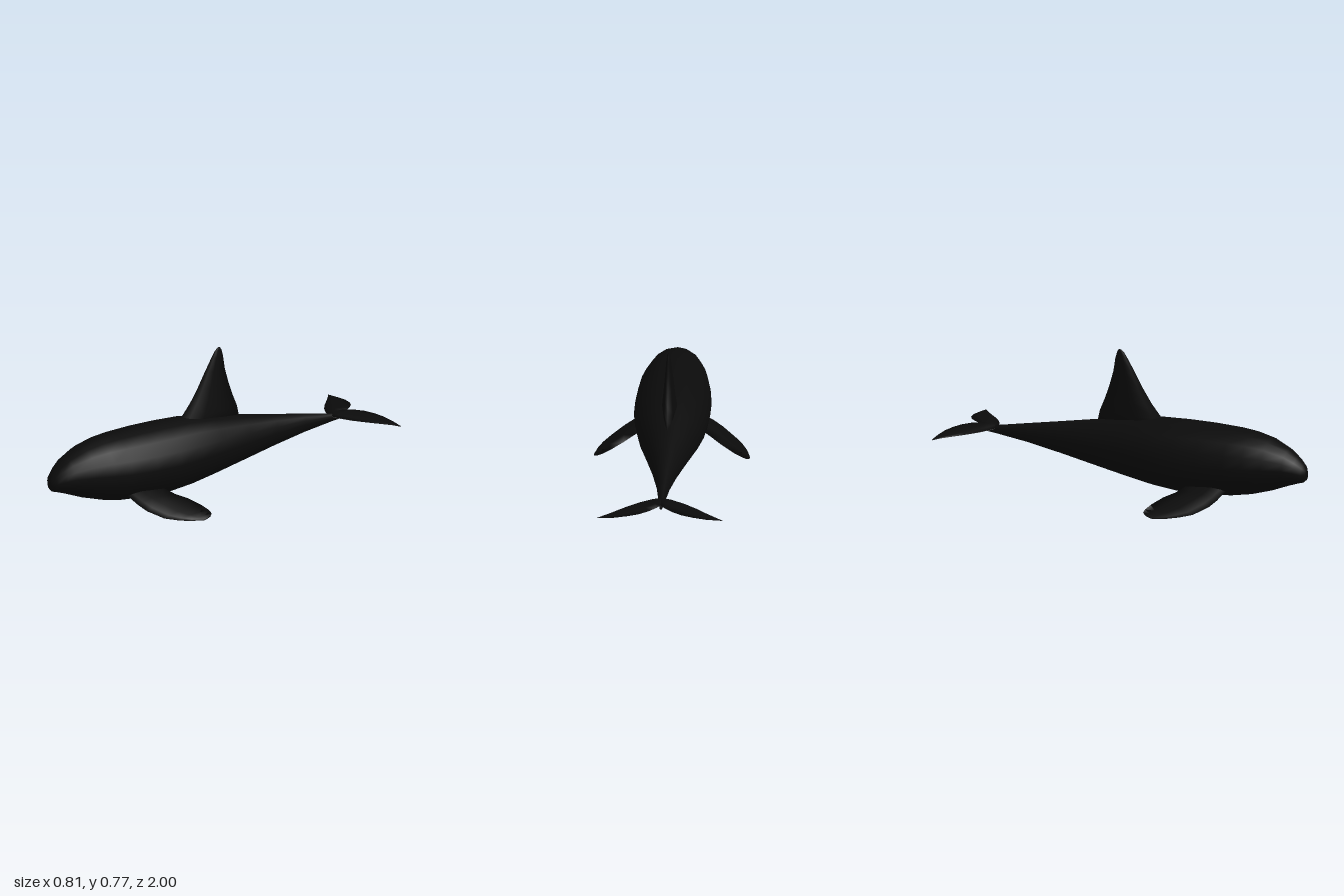
import * as THREE from 'three';

const black = new THREE.MeshStandardMaterial({ color: 0x0b0b0b });
black.name = 'black skin';
const grey = new THREE.MeshStandardMaterial({ color: 0x9a9a9a });
grey.name = 'pale fluke underside';

const V = (x, y, z) => new THREE.Vector3(x, y, z);

// Closed skin over equal rings of points; isPale(j) picks the second material for strip j
function loft(rings, isPale = () => false) {
  const n = rings[0].length;
  const pts = rings.flat();
  const sets = [[], []];
  for (let i = 0; i < rings.length - 1; i++) {
    for (let j = 0; j < n; j++) {
      const a = i * n + j, b = i * n + (j + 1) % n;
      sets[isPale(j) ? 1 : 0].push(a, b, a + n, b, b + n, a + n);
    }
  }
  // end caps
  const last = (rings.length - 1) * n;
  for (let j = 1; j < n - 1; j++) {
    sets[0].push(0, j + 1, j, last, last + j, last + j + 1);
  }
  // turn the faces outward when the ring order runs the other way
  let volume = 0;
  const cross = V(0, 0, 0);
  for (const s of sets) {
    for (let k = 0; k < s.length; k += 3) {
      volume += pts[s[k]].dot(cross.crossVectors(pts[s[k + 1]], pts[s[k + 2]]));
    }
  }
  if (volume < 0) sets.forEach((s) => s.reverse());
  const geo = new THREE.BufferGeometry().setFromPoints(pts);
  geo.setIndex([...sets[0], ...sets[1]]);
  geo.addGroup(0, sets[0].length, 0);
  geo.addGroup(sets[0].length, sets[1].length, 1);
  geo.computeVertexNormals();
  return geo;
}

// Lens-shaped fin section between a leading and a trailing point
const CHORD = [[0.12, 0.6], [0.35, 1], [0.7, 0.6]];
function finRing(lead, trail, half, normal) {
  const at = ([t, h], side) => lead.clone().lerp(trail, t).addScaledVector(normal, side * h * half);
  return [
    lead.clone(), ...CHORD.map((c) => at(c, 1)),
    trail.clone(), ...[...CHORD].reverse().map((c) => at(c, -1)),
  ];
}

function addMesh(group, name, geo) {
  const mesh = new THREE.Mesh(geo, [black, grey]);
  mesh.name = name;
  group.add(mesh);
}

export function createModel() {
  const group = new THREE.Group();
  group.name = 'whale';

  // Body stations: z, top, bottom, half width
  const stations = [
    [1, 0.245, 0.195, 0.02], [0.985, 0.275, 0.18, 0.045], [0.95, 0.31, 0.17, 0.07],
    [0.9, 0.348, 0.153, 0.096], [0.8, 0.394, 0.115, 0.138], [0.7, 0.417, 0.086, 0.166],
    [0.6, 0.427, 0.069, 0.185], [0.45, 0.433, 0.058, 0.198], [0.3, 0.434, 0.058, 0.198],
    [0.15, 0.43, 0.074, 0.185], [0, 0.413, 0.1, 0.161], [-0.2, 0.38, 0.137, 0.115],
    [-0.4, 0.345, 0.175, 0.071], [-0.6, 0.31, 0.21, 0.036], [-0.78, 0.278, 0.235, 0.016],
    [-0.85, 0.268, 0.242, 0.008],
  ];
  const SIDES = 16;
  addMesh(group, 'body', loft(stations.map(([z, top, bottom, w]) =>
    Array.from({ length: SIDES }, (_, j) => {
      const a = (j / SIDES) * Math.PI * 2;
      return V(Math.sin(a) * w, (top + bottom) / 2 + Math.cos(a) * (top - bottom) / 2, z);
    }))));

  // Dorsal fin: y, leading z, trailing z, half thickness
  const dorsal = [
    [0.36, 0.22, -0.2, 0.042], [0.43, 0.17, -0.185, 0.038], [0.5, 0.112, -0.155, 0.031],
    [0.57, 0.066, -0.13, 0.025], [0.65, 0.02, -0.107, 0.018], [0.72, -0.022, -0.096, 0.012],
    [0.755, -0.045, -0.086, 0.007], [0.77, -0.064, -0.076, 0.002],
  ];
  addMesh(group, 'dorsalFin', loft(dorsal.map(([y, a, b, h]) =>
    finRing(V(0, y, a), V(0, y, b), h, V(1, 0, 0)))));

  // Flippers: x, leading z, trailing z, leading y, trailing y, half thickness
  const flipper = [
    [0.11, 0.6, 0.4, 0.125, 0.14, 0.02], [0.2, 0.582, 0.345, 0.085, 0.1, 0.021],
    [0.25, 0.56, 0.3, 0.06, 0.082, 0.02], [0.32, 0.5, 0.258, 0.028, 0.053, 0.016],
    [0.36, 0.44, 0.245, 0.017, 0.037, 0.012], [0.385, 0.385, 0.246, 0.01, 0.026, 0.008],
    [0.403, 0.31, 0.268, 0.005, 0.016, 0.004],
  ];
  // Flukes: leading x, z, y, trailing x, z, y, half thickness
  const fluke = [
    [0, -0.77, 0.266, 0, -0.88, 0.28, 0.016], [0.05, -0.783, 0.266, 0.02, -0.91, 0.28, 0.016],
    [0.12, -0.82, 0.264, 0.06, -0.948, 0.277, 0.014], [0.185, -0.87, 0.261, 0.11, -0.975, 0.272, 0.011],
    [0.245, -0.925, 0.258, 0.17, -0.992, 0.267, 0.008], [0.29, -0.963, 0.256, 0.24, -0.999, 0.26, 0.004],
    [0.327, -0.99, 0.253, 0.322, -0.995, 0.254, 0.001],
  ];
  for (const [side, s] of [['left', 1], ['right', -1]]) {
    const up = V(s * 0.35, 0.93, 0);
    addMesh(group, side + 'Flipper', loft(flipper.map(([x, a, b, ya, yb, h]) =>
      finRing(V(s * x, ya, a), V(s * x, yb, b), h, up))));
    // the front part of each fluke's underside is pale
    addMesh(group, side + 'Fluke', loft(fluke.map(([xa, za, ya, xb, zb, yb, h]) =>
      finRing(V(s * xa, ya, za), V(s * xb, yb, zb), h, V(0, 1, 0))), (j) => j >= 5));
  }
  return group;
}
